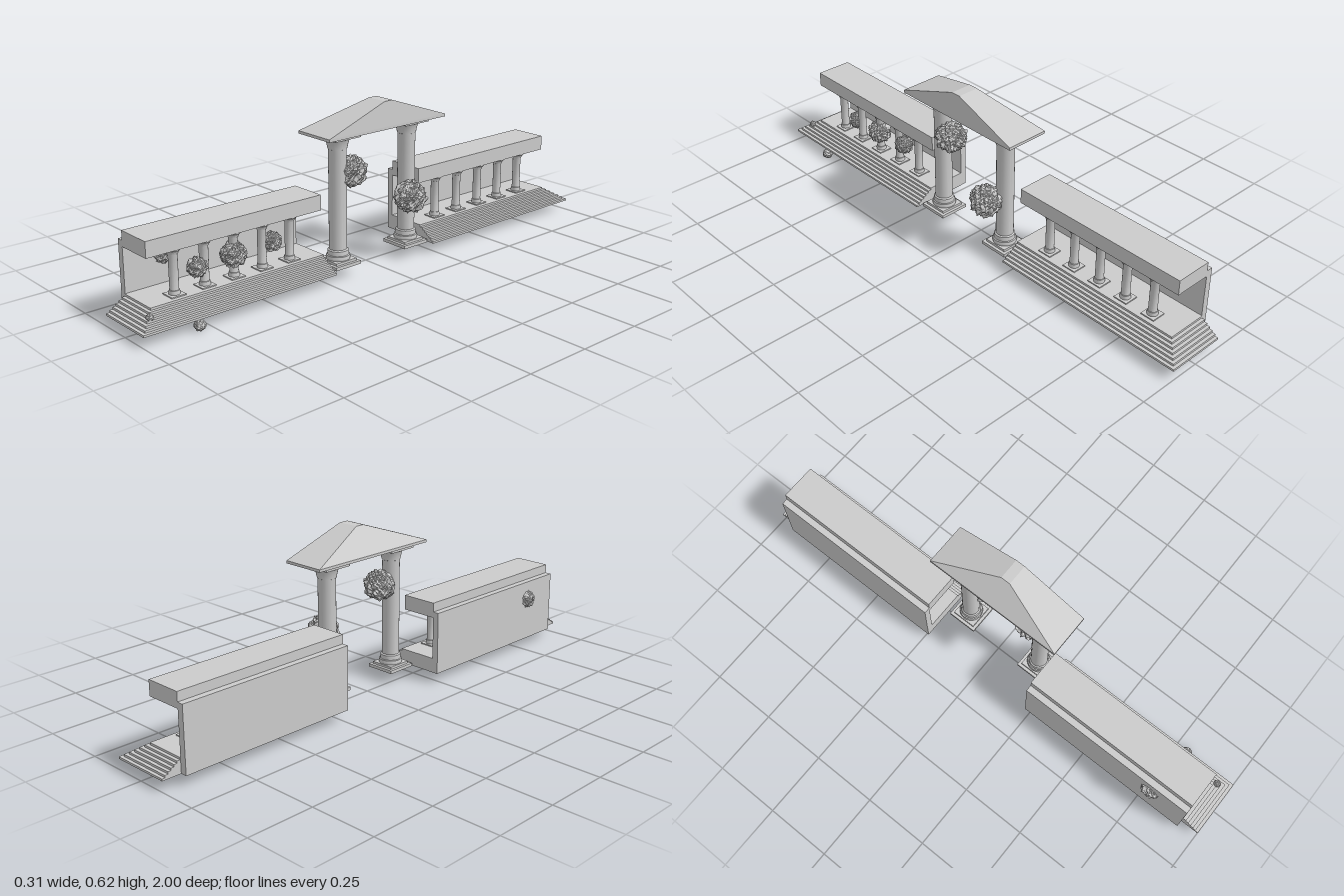
import * as THREE from 'three';
import { toCreasedNormals } from 'three/addons/utils/BufferGeometryUtils.js';

const grey = new THREE.MeshStandardMaterial({ color: 0xcccccc });
const rough = new THREE.MeshStandardMaterial({ color: 0xcccccc, flatShading: true });

function add(parent, name, geometry, material = grey) {
  const mesh = new THREE.Mesh(geometry, material);
  mesh.name = name;
  parent.add(mesh);
  return mesh;
}

// Box given by its lower and upper corners
function block(parent, name, [x0, y0, z0], [x1, y1, z1]) {
  const mesh = add(parent, name, new THREE.BoxGeometry(x1 - x0, y1 - y0, z1 - z0));
  mesh.position.set((x0 + x1) / 2, (y0 + y1) / 2, (z0 + z1) / 2);
  return mesh;
}

// Turned column: square plinth, round shaft with base mouldings and flared capital
function column(parent, name, x, z, plinthHalf, y0, y1, profile) {
  const group = new THREE.Group();
  group.name = name;
  group.position.set(x, 0, z);
  parent.add(group);
  block(group, 'plinth', [-plinthHalf, y0, -plinthHalf], [plinthHalf, y1, plinthHalf]);
  const points = profile.map(([r, y]) => new THREE.Vector2(r, y));
  add(group, 'shaft', toCreasedNormals(new THREE.LatheGeometry(points, 24), 0.5));
  return group;
}

const smallProfile = [[0, 0.096], [0.019, 0.096], [0.019, 0.104], [0.0175, 0.111], [0.0155, 0.112],
  [0.0155, 0.233], [0.018, 0.234], [0.02, 0.24], [0.025, 0.246], [0.027, 0.248], [0.027, 0.252], [0, 0.252]];
const largeProfile = [[0, 0.062], [0.042, 0.062], [0.044, 0.07], [0.042, 0.078], [0.038, 0.08], [0.038, 0.088],
  [0.037, 0.096], [0.032, 0.1], [0.032, 0.462], [0.034, 0.463], [0.038, 0.482], [0.042, 0.495],
  [0.045, 0.498], [0.045, 0.504], [0, 0.504]];

// Long hall with back wall, heavy roof, stepped floor and a row of columns
function hall(side) {
  const group = new THREE.Group();
  group.name = side > 0 ? 'frontHall' : 'backHall';
  const inner = 0.233, outer = 0.928;
  const span = (name, x0, x1, y0, y1, end = outer) => {
    const a = side * inner, b = side * end;
    block(group, name, [x0, y0, Math.min(a, b)], [x1, y1, Math.max(a, b)]);
  };
  span('backWall', -0.134, -0.11, 0.038, 0.274);
  span('hallRoof', -0.11, 0.03, 0.252, 0.308);
  const steps = 7, rise = 0.055 / steps;
  for (let i = 0; i < steps; i++) {
    span('step', -0.11, 0.113 - i * 0.0117, 0.038 + i * rise, 0.038 + (i + 1) * rise, 1 - i * 0.0117);
  }
  for (let i = 0; i < 5; i++) {
    column(group, 'hallColumn', 0, side * (0.35 + i * 0.116), 0.027, 0.093, 0.097, smallProfile);
  }
  return group;
}

// Tall gateway: two columns under a pitched roof, hipped at the back
function gateway() {
  const group = new THREE.Group();
  group.name = 'gateway';
  const cx = 0.037;
  for (const side of [1, -1]) {
    const col = column(group, 'gateColumn', cx, side * 0.163, 0.057, 0.042, 0.054, largeProfile);
    block(col, 'upperPlinth', [-0.046, 0.054, -0.046], [0.046, 0.063, 0.046]);
    block(col, 'abacus', [-0.057, 0.503, -0.057], [0.057, 0.518, 0.057]);
  }
  block(group, 'roofSlab', [-0.04, 0.518, -0.27], [0.123, 0.528, 0.27]);
  // Pull the top corners of a box in to a short ridge
  const roof = new THREE.BoxGeometry(0.163, 0.089, 0.54).toNonIndexed();
  const p = roof.attributes.position;
  for (let i = 0; i < p.count; i++) {
    const x = p.getX(i), top = p.getY(i) > 0, z = p.getZ(i);
    p.setXYZ(i, top ? (x < 0 ? 0.036 : 0.117) : x + 0.0415, top ? 0.617 : 0.528,
      top ? Math.sign(z) * 0.018 : z);
  }
  roof.computeVertexNormals();
  add(group, 'gateRoof', roof);
  return group;
}

// Lumpy shrub: sphere pushed in and out by layered waves
function shrub(parent, name, x, y, z, r, seed, detail = 9) {
  const geometry = new THREE.IcosahedronGeometry(1, detail);
  const p = geometry.attributes.position;
  const v = new THREE.Vector3();
  for (let i = 0; i < p.count; i++) {
    v.fromBufferAttribute(p, i);
    const a = Math.sin(v.x * 7 + seed) * Math.sin(v.y * 8 + seed * 2.1) * Math.sin(v.z * 7.5 + seed * 1.3);
    const b = Math.sin(v.x * 15 - v.y * 9 + seed) * Math.sin(v.z * 16 + v.y * 8 + seed * 3);
    const c = Math.sin(v.y * 29 + v.x * 17) * Math.sin(v.z * 27 - v.x * 13 + seed);
    v.multiplyScalar(r * (0.9 + 0.12 * a + 0.08 * b + 0.05 * c));
    p.setXYZ(i, v.x, v.y, v.z);
  }
  geometry.computeVertexNormals();
  add(parent, name, geometry, rough).position.set(x, y, z);
}

export function createModel() {
  const model = new THREE.Group();
  model.name = 'colonnade';
  model.add(hall(1), hall(-1), gateway());

  shrub(model, 'gateShrub', 0.045, 0.372, 0.11, 0.06, 1.2);
  shrub(model, 'gateShrub', 0.096, 0.241, -0.128, 0.062, 2.7);
  shrub(model, 'wallShrub', -0.114, 0.202, 0.78, 0.043, 4.1);
  shrub(model, 'hallShrub', 0.002, 0.165, 0.727, 0.036, 5.3);
  shrub(model, 'hallShrub', 0.002, 0.173, 0.583, 0.047, 6.8);
  shrub(model, 'hallShrub', 0.006, 0.181, 0.43, 0.037, 8.2);
  shrub(model, 'looseRock', 0.112, 0.02, 0.797, 0.021, 9.4, 4);
  shrub(model, 'stepRock', 0.07, 0.077, 0.95, 0.013, 3.3, 4);
  return model;
}
